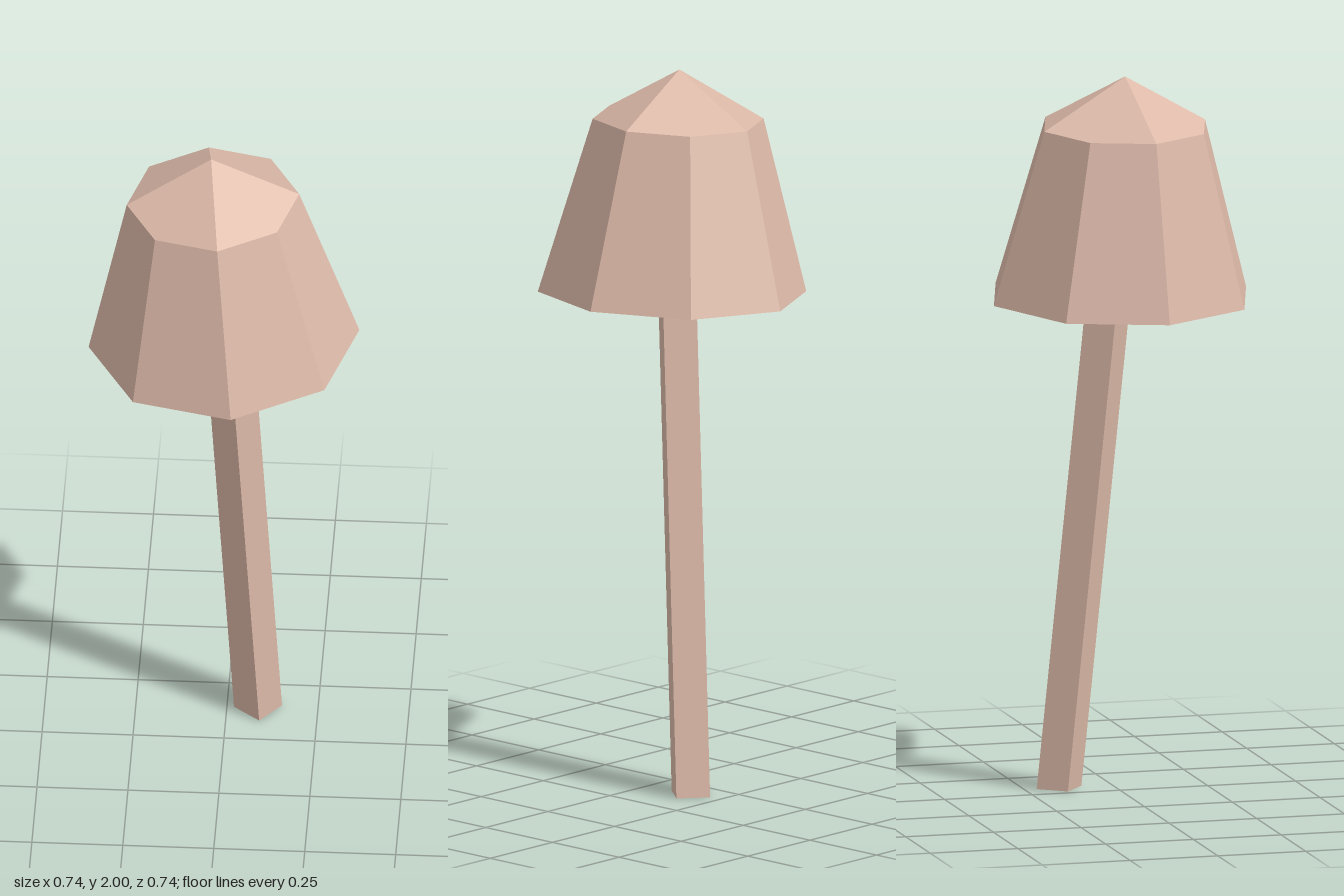
import * as THREE from 'three';

const SIDES = 8;
const TURN = THREE.MathUtils.degToRad(6);

// Octagonal ring, slightly tipped up toward +x
function ring(cx, cy, cz, r) {
  return Array.from({ length: SIDES }, (_, k) => {
    const a = TURN + (k * Math.PI * 2) / SIDES;
    const x = r * Math.sin(a);
    return new THREE.Vector3(cx + x, cy + 0.042 * x, cz + r * Math.cos(a));
  });
}

// Four-cornered faces, each with a single flat normal taken from its diagonals
function quadGeometry(quads) {
  const pos = [], nor = [];
  for (const [a, b, c, d] of quads) {
    const n = c.clone().sub(a).cross(d.clone().sub(b)).normalize();
    for (const p of [a, b, c, a, c, d]) {
      pos.push(p.x, p.y, p.z);
      nor.push(n.x, n.y, n.z);
    }
  }
  const g = new THREE.BufferGeometry();
  g.setAttribute('position', new THREE.Float32BufferAttribute(pos, 3));
  g.setAttribute('normal', new THREE.Float32BufferAttribute(nor, 3));
  return g;
}

export function createModel() {
  const group = new THREE.Group();
  const flesh = new THREE.MeshStandardMaterial({ color: 0xdcb9a8, side: THREE.DoubleSide });
  flesh.name = 'pale mushroom';

  const add = (name, geometry) => {
    const mesh = new THREE.Mesh(geometry, flesh);
    mesh.name = name;
    group.add(mesh);
  };

  // Cap: open flared skirt below a shallow roof of four folded faces
  const rim = ring(0, 1.38, 0, 0.372);
  const shoulder = ring(-0.03, 1.862, 0.005, 0.237);
  const apex = new THREE.Vector3(-0.035, 2, 0.005);
  const skirt = [], roof = [];
  for (let k = 0; k < SIDES; k++) {
    const n = (k + 1) % SIDES;
    skirt.push([rim[k], rim[n], shoulder[n], shoulder[k]]);
    if (k % 2 === 0) roof.push([apex, shoulder[k], shoulder[n], shoulder[(k + 2) % SIDES]]);
  }
  add('capSkirt', quadGeometry(skirt));
  add('capRoof', quadGeometry(roof));

  // Stem: square post leaning back into the cap
  const height = 1.82;
  let stem = new THREE.CylinderGeometry(0.066, 0.066, height, 4, 1, false, TURN);
  stem.translate(0, height / 2, 0);
  const p = stem.attributes.position;
  for (let i = 0; i < p.count; i++) {
    const y = p.getY(i);
    p.setX(i, p.getX(i) + 0.085 - 0.054 * y);
    p.setZ(i, p.getZ(i) - 0.15 + 0.087 * y);
  }
  stem = stem.toNonIndexed();
  stem.computeVertexNormals();
  add('stem', stem);

  return group;
}
